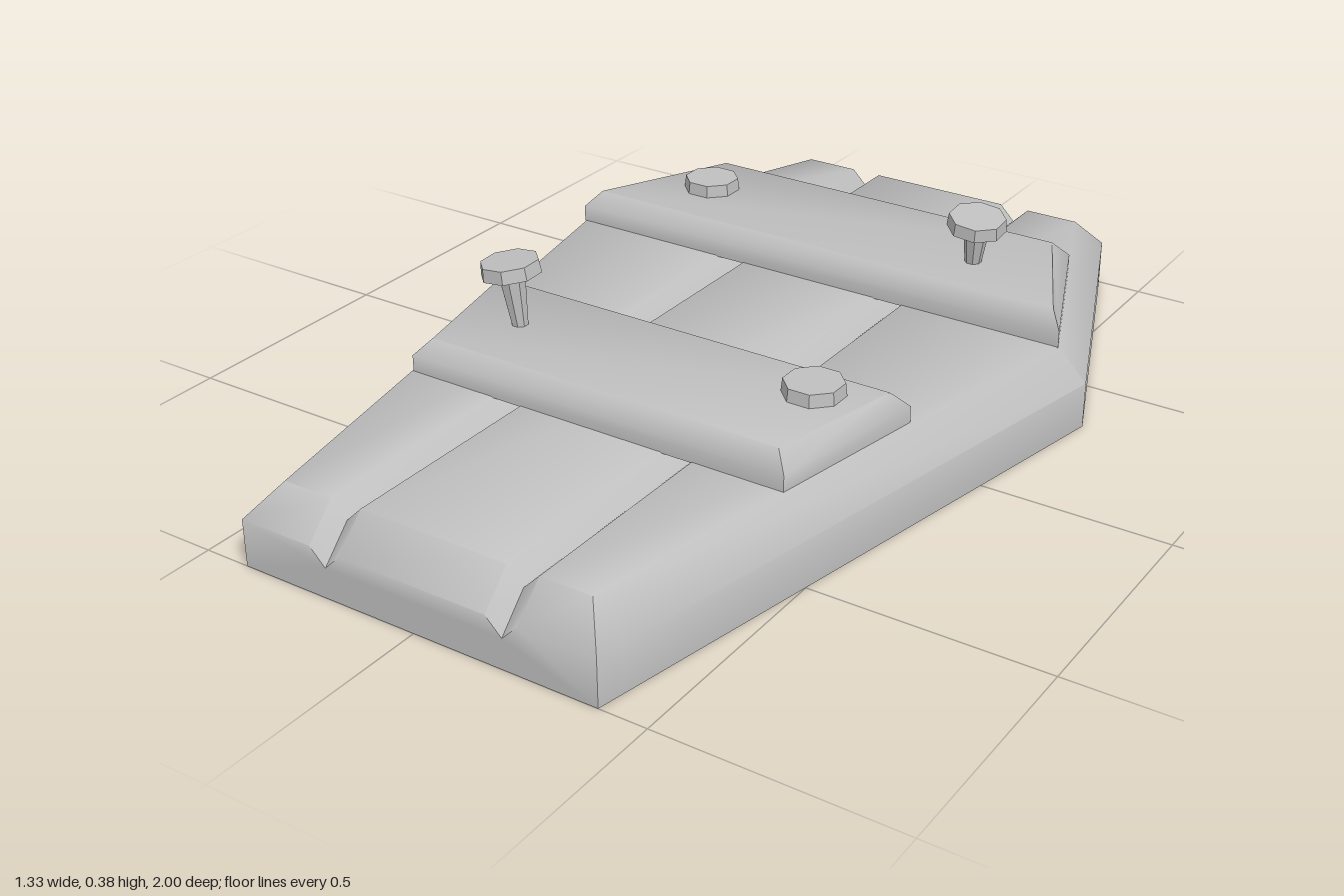
import * as THREE from 'three';
import { toCreasedNormals } from 'three/addons/utils/BufferGeometryUtils.js';

// Skin matching loops of [x, y, z] points and cap both ends; flatten gives a cap point in 2D.
// Loops run counter-clockwise seen from the last loop's side.
function loft(loops, flatten) {
  const pos = [];
  const V = (p) => new THREE.Vector3(...p);
  const tri = (a, b, c) => {
    if (V(b).sub(V(a)).cross(V(c).sub(V(a))).length() > 1e-7) pos.push(...a, ...b, ...c);
  };
  const n = loops[0].length;
  for (let k = 0; k + 1 < loops.length; k++) {
    const A = loops[k], B = loops[k + 1];
    for (let i = 0; i < n; i++) {
      const j = (i + 1) % n;
      tri(A[i], A[j], B[j]);
      tri(A[i], B[j], B[i]);
    }
  }
  const cap = (loop, flip) => {
    const pts = loop.filter((p, i) => V(p).distanceTo(V(loop[(i + 1) % n])) > 1e-6);
    const contour = pts.map((p) => new THREE.Vector2(...flatten(p)));
    for (const [a, b, c] of THREE.ShapeUtils.triangulateShape(contour, [])) {
      if (flip) tri(pts[a], pts[c], pts[b]);
      else tri(pts[a], pts[b], pts[c]);
    }
  };
  cap(loops[0], true);
  cap(loops[loops.length - 1], false);
  const g = new THREE.BufferGeometry();
  g.setAttribute('position', new THREE.Float32BufferAttribute(pos, 3));
  return toCreasedNormals(g, 0.9);
}

// Six-sided board with bevelled rim and two V grooves, lofted from back to front
function lidGeometry() {
  const wall = 0.1, top = 0.167, depth = 0.035, half = 0.035;
  // z, outer half width, bevelled half width, surface height
  const rows = [
    [-1, 0.4, 0.4, wall],
    [-0.935, 0.426, 0.356, top],
    [-0.33, 0.665, 0.597, top],
    [0.935, 0.413, 0.347, top],
    [1, 0.4, 0.4, wall],
  ];
  return loft(rows.map(([z, outer, inner, y]) => {
    const right = [
      [outer, 0], [outer, wall], [inner, y],
      [0.2 + half, y], [0.2, y - depth], [0.2 - half, y],
    ];
    const left = right.map(([x, h]) => [-x, h]).reverse();
    return [...right, ...left].map(([x, h]) => [x, h, z]);
  }), (p) => [p[0], p[1]]);
}

// Bevelled trapezoid batten lying across the lid
function battenGeometry(zBack, xBack, zFront, xFront) {
  const inset = 0.03;
  const loop = (y, d) => [
    [-xFront + d, y, zFront - d], [xFront - d, y, zFront - d],
    [xBack - d, y, zBack + d], [-xBack + d, y, zBack + d],
  ];
  return loft([loop(0.165, 0), loop(0.202, 0), loop(0.236, inset)], (p) => [p[0], -p[2]]);
}

// Faceted eight-sided pin
function pin(rTop, rBottom, height) {
  const g = new THREE.CylinderGeometry(rTop, rBottom, height, 8).rotateY(Math.PI / 8);
  return toCreasedNormals(g, 0.3);
}

export function createModel() {
  const model = new THREE.Group();
  model.name = 'coffinLid';
  const grey = new THREE.MeshStandardMaterial({ color: 0xbfbfbf });
  grey.name = 'grey';
  const add = (parent, name, geometry) => {
    const mesh = new THREE.Mesh(geometry, grey);
    mesh.name = name;
    parent.add(mesh);
    return mesh;
  };

  add(model, 'lidBoard', lidGeometry());
  add(model, 'backBatten', battenGeometry(-0.685, 0.455, -0.325, 0.6));
  add(model, 'frontBatten', battenGeometry(0.12, 0.5, 0.475, 0.435));

  // Nails: head centre, then tilt about x and z; two are driven in, two stand proud
  const nails = [
    ['backRightNail', -0.37, 0.249, -0.51, 0, 0],
    ['frontLeftNail', 0.35, 0.249, 0.23, 0, 0],
    ['frontRightNail', -0.315, 0.36, 0.302, 0.03, 0.12],
    ['backLeftNail', 0.335, 0.333, -0.463, 0.1, -0.1],
  ];
  for (const [name, x, y, z, tiltX, tiltZ] of nails) {
    const nail = new THREE.Group();
    nail.name = name;
    nail.position.set(x, y, z);
    nail.rotation.set(tiltX, 0, tiltZ);
    add(nail, 'nailHead', pin(0.061, 0.064, 0.028));
    const length = y - 0.21;
    add(nail, 'nailShaft', pin(0.03, 0.015, length)).position.y = -length / 2;
    model.add(nail);
  }
  return model;
}
